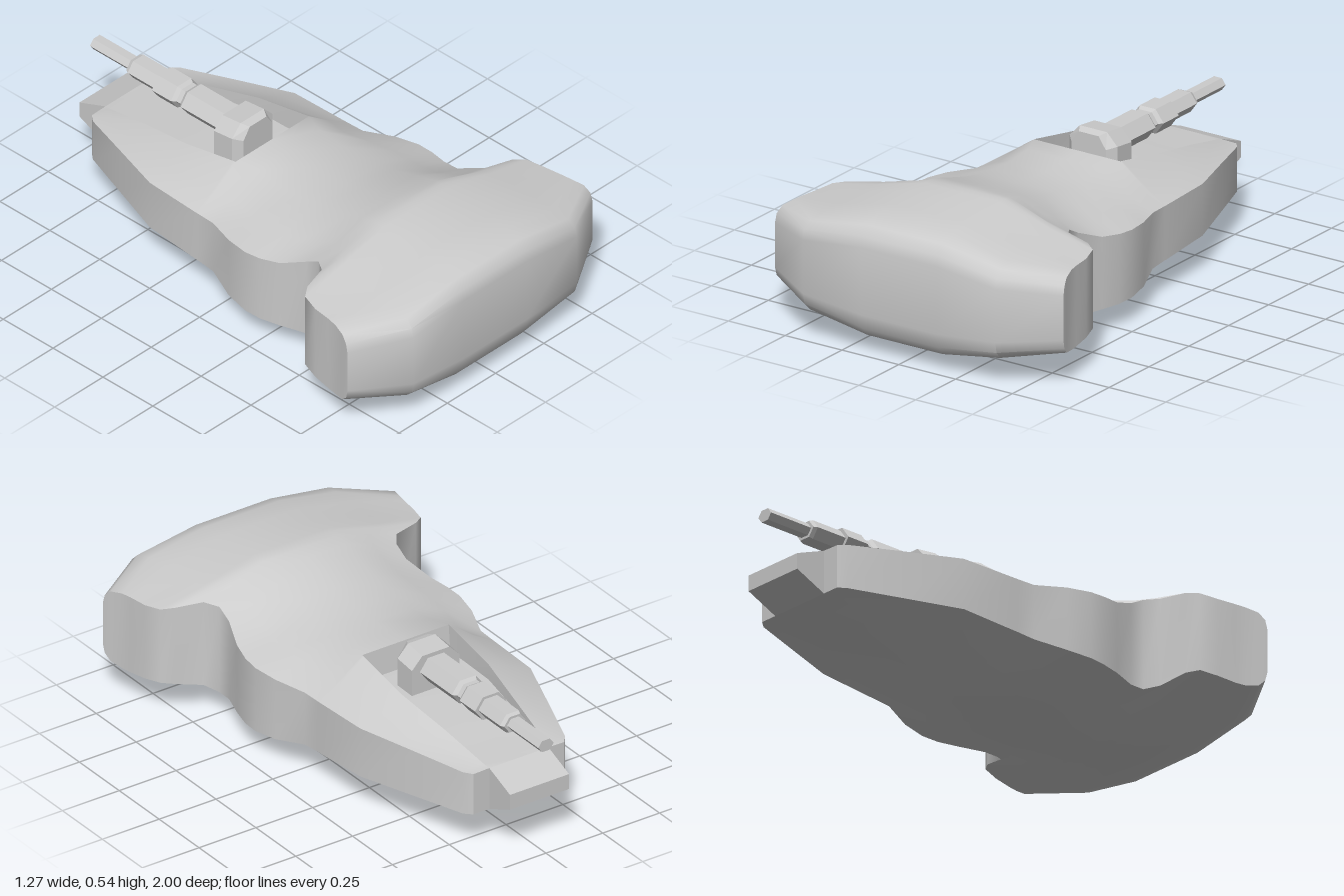
import * as THREE from 'three';
import { toCreasedNormals } from 'three/addons/utils/BufferGeometryUtils.js';

const smooth = () => new THREE.MeshStandardMaterial({ color: 0xcccccc });
const faceted = () => new THREE.MeshStandardMaterial({ color: 0xcccccc, flatShading: true });

// Rounded nose: z, half width, side bottom, side top, bottom, top, sweep
const nose = [
  [1, 0.635, 0.20, 0.37, 0.16, 0.42, 1],
  [0.99, 0.633, 0.165, 0.405, 0.105, 0.46, 1],
  [0.96, 0.625, 0.14, 0.43, 0.07, 0.495, 1],
  [0.9, 0.61, 0.13, 0.44, 0.05, 0.515, 1],
  [0.8, 0.603, 0.13, 0.442, 0.035, 0.525, 0.5],
];

// Wings, notch and waist: z, half width, side bottom, side top, bottom, top
const hull = [
  [0.67, 0.593, 0.137, 0.442, 0.018, 0.537],
  [0.6, 0.573, 0.145, 0.45, 0.008, 0.543],
  [0.57, 0.53, 0.14, 0.457, 0.005, 0.545],
  [0.54, 0.425, 0.115, 0.46, 0.006, 0.542],
  [0.49, 0.39, 0.097, 0.452, 0.008, 0.528],
  [0.43, 0.39, 0.097, 0.42, 0.012, 0.51],
  [0.33, 0.425, 0.1, 0.38, 0.018, 0.482],
  [0.25, 0.445, 0.1, 0.37, 0.02, 0.467],
  [0.18, 0.45, 0.103, 0.365, 0.02, 0.46],
  [0.08, 0.432, 0.11, 0.358, 0.02, 0.455],
  [-0.04, 0.387, 0.13, 0.346, 0.02, 0.467],
];

// Tail with sunken tray: the above, then tray half width and tray floor
const tail = [
  [-0.12, 0.384, 0.136, 0.346, 0.04, 0.475, 0.19, 0.475],
  [-0.13, 0.384, 0.136, 0.346, 0.042, 0.474, 0.19, 0.37],
  [-0.37, 0.375, 0.15, 0.35, 0.09, 0.428, 0.19, 0.365],
  [-0.6, 0.295, 0.15, 0.336, 0.119, 0.379, 0.16, 0.343],
  [-0.8, 0.225, 0.15, 0.322, 0.147, 0.331, 0.137, 0.324],
  [-0.83, 0.2, 0.152, 0.32, 0.152, 0.322, 0.13, 0.322],
];

// Closed ring of 16 points, counterclockwise from the bottom centre
function ring(z, w, sb, st, bot, top, f, floor, sweep) {
  const m = f + (w - f) * 0.55, mix = THREE.MathUtils.lerp;
  const half = [
    [0, bot], [f, bot], [m, mix(sb, bot, 0.4)], [w, sb],
    [w, st], [m, mix(st, top, 0.4)], [f, top], [f, floor], [0, floor],
  ];
  const mirrored = half.slice(1, 8).reverse().map(([x, y]) => [-x, y]);
  return [...half, ...mirrored].map(([x, y]) =>
    new THREE.Vector3(x, y, z - sweep * 0.125 * Math.max(0, (Math.abs(x) - 0.42) / 0.21)));
}

// Skin the rings front to back and close both ends
function loft(rings) {
  const pos = [];
  const tri = (a, b, c) => {
    if (new THREE.Triangle(a, b, c).getArea() > 1e-7) {
      for (const p of [a, b, c]) pos.push(p.x, p.y, p.z);
    }
  };
  const quad = (a, b, c, d) => { tri(a, b, c); tri(a, c, d); };
  for (let i = 0; i < rings.length - 1; i++) {
    const A = rings[i], B = rings[i + 1];
    for (let j = 0; j < 16; j++) {
      const k = (j + 1) % 16;
      quad(A[j], B[j], B[k], A[k]);
    }
  }
  const low = [13, 14, 15, 0, 1, 2, 3], high = [12, 11, 10, 8, 6, 5, 4];
  const F = rings[0], R = rings[rings.length - 1];
  for (let i = 0; i < 6; i++) {
    quad(F[low[i]], F[low[i + 1]], F[high[i + 1]], F[high[i]]);
    quad(R[low[i]], R[high[i]], R[high[i + 1]], R[low[i + 1]]);
  }
  const g = new THREE.BufferGeometry();
  g.setAttribute('position', new THREE.Float32BufferAttribute(pos, 3));
  return toCreasedNormals(g, 0.7);
}

export function createModel() {
  const model = new THREE.Group();
  const add = (name, geometry, material) => {
    const mesh = new THREE.Mesh(geometry, material);
    mesh.name = name;
    model.add(mesh);
    return mesh;
  };

  // Main hull
  add('hull', loft([
    ...nose.map(([z, w, sb, st, b, t, k]) => ring(z, w, sb, st, b, t, 0.165, t, k)),
    ...hull.map(([z, w, sb, st, b, t]) => ring(z, w, sb, st, b, t, 0.165, t, 0)),
    ...tail.map((s) => ring(...s, 0)),
  ]), smooth());

  // Wedge behind the tail, thinner towards its end
  const wedge = new THREE.Shape([
    [0.8, 0.15], [0.83, 0.152], [0.96, 0.21], [0.96, 0.272], [0.83, 0.322], [0.8, 0.322],
  ].map((p) => new THREE.Vector2(...p)));
  const wedgeGeo = new THREE.ExtrudeGeometry(wedge, { depth: 0.26, bevelEnabled: false });
  wedgeGeo.translate(0, 0, -0.13).rotateY(Math.PI / 2);
  add('tailWedge', wedgeGeo, faceted());

  // Stepped six-sided gun pointing backwards
  const profile = [
    [0, 0.25], [0.07, 0.25], [0.07, 0.51], [0.057, 0.525], [0.057, 0.545], [0.07, 0.56],
    [0.07, 0.655], [0.055, 0.655], [0.055, 0.79], [0.047, 0.805], [0.034, 0.805], [0.034, 1], [0, 1],
  ].map((p) => new THREE.Vector2(...p));
  const gunGeo = new THREE.LatheGeometry(profile, 6, Math.PI / 6);
  gunGeo.rotateX(-Math.PI / 2).scale(1, 0.78, 1);
  add('gun', gunGeo, faceted()).position.y = 0.454;

  // Arched gun mount with a chamfered front
  const arch = new THREE.Shape([
    [-0.105, 0.36], [0.105, 0.36], [0.105, 0.47], [0.06, 0.517], [-0.06, 0.517], [-0.105, 0.47],
  ].map((p) => new THREE.Vector2(...p)));
  const mountGeo = new THREE.ExtrudeGeometry(arch, { depth: 0.12, steps: 2, bevelEnabled: false });
  mountGeo.translate(0, 0, -0.31);
  const p = mountGeo.attributes.position;
  for (let i = 0; i < p.count; i++) {
    const z = p.getZ(i);
    if (z > -0.2) p.setX(i, p.getX(i) * 0.72);
    else if (z > -0.3) {
      p.setZ(i, -0.22);
      if (p.getY(i) > 0.4) p.setY(i, p.getY(i) + 0.01);
    }
  }
  add('gunMount', mountGeo, faceted());

  return model;
}
